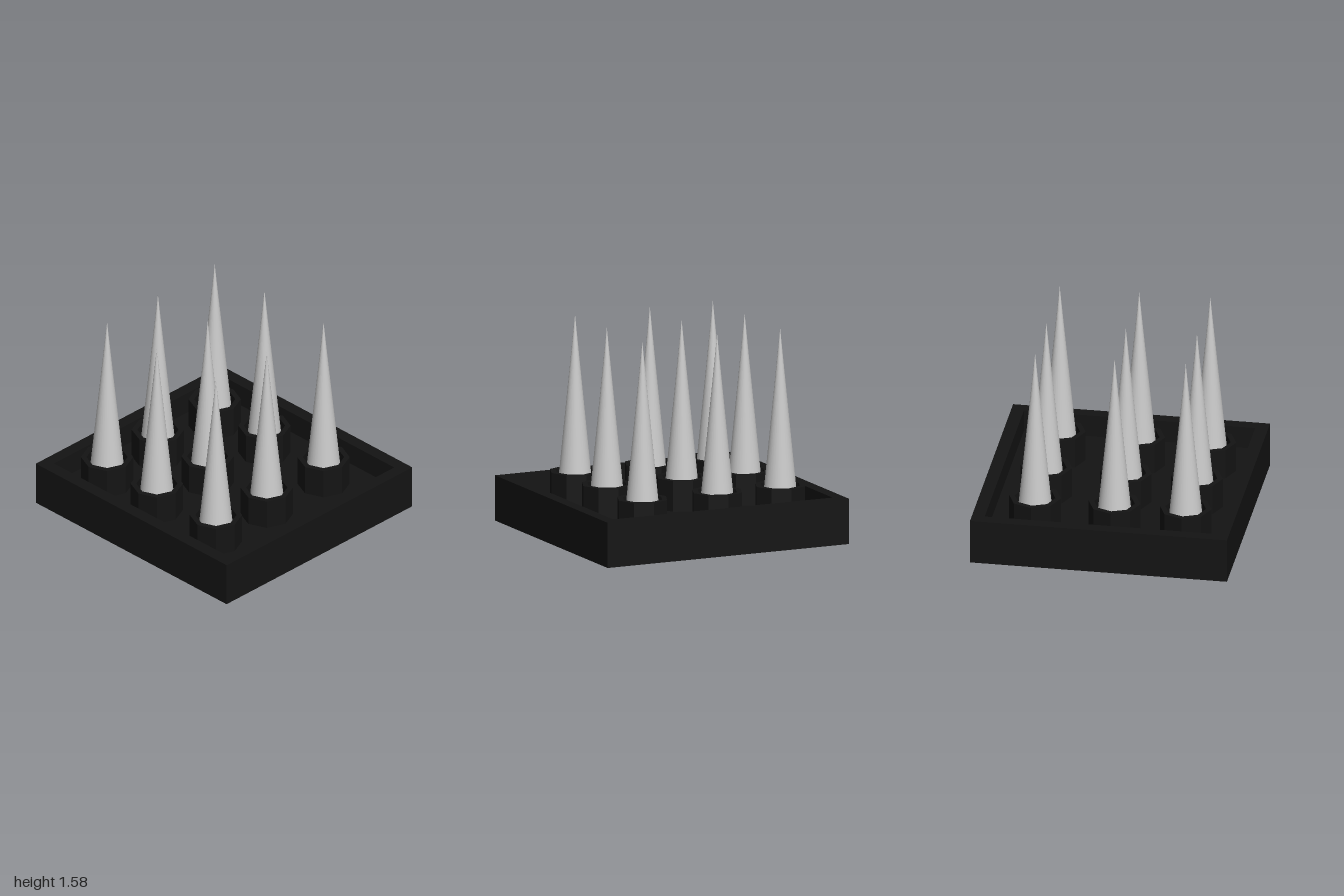
import * as THREE from 'three';

const FLOOR = 0.17, RIM = 0.34, SOCKET_TOP = 0.4, TIP = 1.58;

// Slightly skewed rectangle in plan; shape y becomes -z once laid flat.
function skewedRect(PathType, halfX, halfZ) {
  const skew = 0.009;
  const corners = [[-1, -1], [1, -1], [1, 1], [-1, 1]];
  return new PathType(corners.map(([sx, sy]) =>
    new THREE.Vector2(sx * halfX + sy * skew * halfZ / 0.96, sy * halfZ)));
}

function octagon(PathType, radius) {
  const points = [];
  for (let i = 0; i < 8; i++) {
    const a = i * Math.PI / 4;
    points.push(new THREE.Vector2(radius * Math.cos(a), radius * Math.sin(a)));
  }
  return new PathType(points);
}

// Extrude a plan shape upward from y0 to y1.
function slab(shape, y0, y1) {
  return new THREE.ExtrudeGeometry(shape, { depth: y1 - y0, bevelEnabled: false })
    .rotateX(-Math.PI / 2).translate(0, y0, 0);
}

export function createModel() {
  const model = new THREE.Group();
  model.name = 'spikeTray';
  const dark = new THREE.MeshStandardMaterial({ color: 0x141414 });
  const grey = new THREE.MeshStandardMaterial({ color: 0xcccccc });

  const add = (name, geometry, material, parent = model) => {
    const mesh = new THREE.Mesh(geometry, material);
    mesh.name = name;
    parent.add(mesh);
    return mesh;
  };

  // Open tray: solid bottom plus a raised rim
  const tray = new THREE.Group();
  tray.name = 'tray';
  model.add(tray);
  add('trayBottom', slab(skewedRect(THREE.Shape, 0.991, 0.96), 0, FLOOR), dark, tray);
  const rim = skewedRect(THREE.Shape, 0.991, 0.96);
  rim.holes.push(skewedRect(THREE.Path, 0.9, 0.865));
  add('trayRim', slab(rim, FLOOR, RIM), dark, tray);

  // Octagonal tube socket and tapered spike, shared by every position
  const ring = octagon(THREE.Shape, 0.193);
  ring.holes.push(octagon(THREE.Path, 0.152));
  const socketGeometry = slab(ring, FLOOR, SOCKET_TOP);
  const spikeGeometry = new THREE.ConeGeometry(0.14, TIP - FLOOR, 32)
    .translate(0, (TIP + FLOOR) / 2, 0);

  // Unevenly spaced three by three grid
  for (const x of [-0.626, -0.109, 0.505]) {
    for (const z of [-0.532, 0.061, 0.592]) {
      const unit = new THREE.Group();
      unit.name = 'spikeUnit';
      unit.position.set(x, 0, z);
      add('socket', socketGeometry, dark, unit);
      add('spike', spikeGeometry, grey, unit);
      model.add(unit);
    }
  }
  return model;
}
